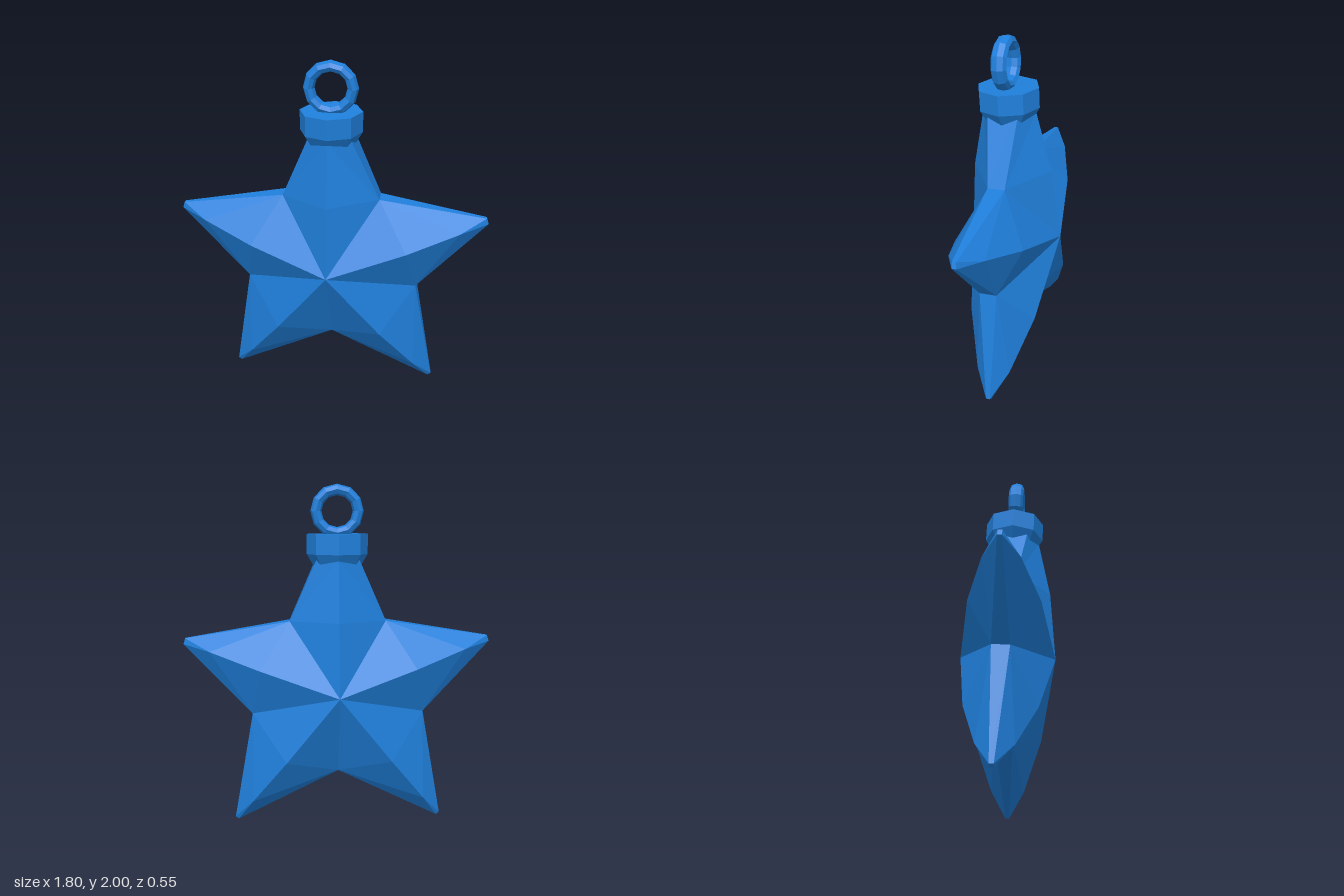
import * as THREE from 'three';

const material = new THREE.MeshStandardMaterial({ color: 0x1f7fdb, flatShading: true });

// Arms and valleys run counter-clockwise; x, y are relative to the star centre.
// ridge: [share of arm length, half thickness]
const sideRidge = [[0.5, 0.2], [0.83, 0.1]];
const topRidge = [[0.47, 0.235], [0.86, 0.155]];
const arms = [
  { tip: [0.895, 0.3], blunt: 0.018, depth: 0.012, ridge: sideRidge },
  { tip: [0, 0.9], blunt: 0.065, depth: 0.1, ridge: topRidge },
  { tip: [-0.895, 0.3], blunt: 0.018, depth: 0.012, ridge: sideRidge },
  { tip: [-0.615, -0.793], blunt: 0.012, depth: 0.012, ridge: sideRidge },
  { tip: [0.615, -0.793], blunt: 0.012, depth: 0.012, ridge: sideRidge },
];
// valley i comes just before arm i
const valleys = [[0.505, -0.13], [0.28, 0.415], [-0.28, 0.415], [-0.505, -0.13], [0, -0.49]];

function starGeometry() {
  const pos = [];
  const tri = (a, b, c) => pos.push(...a, ...b, ...c);
  const valleyDepth = 0.05;

  arms.forEach((arm, i) => {
    const [tx, ty] = arm.tip;
    const len = Math.hypot(tx, ty);
    const px = (-ty / len) * arm.blunt, py = (tx / len) * arm.blunt;
    const before = valleys[i], after = valleys[(i + 1) % 5];

    // front and back facets
    for (const s of [1, -1]) {
      const face = (a, b, c) => (s > 0 ? tri(a, b, c) : tri(a, c, b));
      const centre = [0, 0, 0.277 * s];
      const [r1, r2] = arm.ridge.map(([k, z]) => [tx * k, ty * k, z * s]);
      const v0 = [...before, valleyDepth * s], v1 = [...after, valleyDepth * s];
      const t0 = [tx - px, ty - py, arm.depth * s], t1 = [tx + px, ty + py, arm.depth * s];
      face(centre, v0, r1);
      face(r1, v0, r2);
      face(r2, v0, t0);
      face(r2, t0, t1);
      face(r2, t1, v1);
      face(r1, r2, v1);
      face(centre, r1, v1);
    }

    // narrow rim joining front and back
    const rim = [before, [tx - px, ty - py], [tx + px, ty + py], after];
    const depths = [valleyDepth, arm.depth, arm.depth, valleyDepth];
    for (let k = 0; k < 3; k++) {
      const a = [...rim[k], depths[k]], b = [...rim[k + 1], depths[k + 1]];
      const a2 = [...rim[k], -depths[k]], b2 = [...rim[k + 1], -depths[k + 1]];
      tri(a, a2, b2);
      tri(a, b2, b);
    }
  });

  const g = new THREE.BufferGeometry();
  g.setAttribute('position', new THREE.Float32BufferAttribute(pos, 3));
  g.computeVertexNormals();
  return g;
}

export function createModel() {
  const group = new THREE.Group();
  group.name = 'starOrnament';

  // the whole ornament leans slightly forward about the star centre
  const body = new THREE.Group();
  body.name = 'ornamentBody';
  body.position.y = 0.805;
  body.rotation.x = 0.05;
  group.add(body);

  const add = (name, geometry, y, z = 0) => {
    const mesh = new THREE.Mesh(geometry, material);
    mesh.name = name;
    mesh.position.set(0, y, z);
    body.add(mesh);
    return mesh;
  };

  add('star', starGeometry(), 0);

  // octagonal cap with a tapered underside
  const capProfile = [[0, 0.72], [0.13, 0.72], [0.177, 0.8], [0.177, 0.915], [0, 0.915]]
    .map(([x, y]) => new THREE.Vector2(x, y));
  add('cap', new THREE.LatheGeometry(capProfile, 8), 0);

  // hanging ring, thicker front to back
  const ring = add('hangingRing', new THREE.TorusGeometry(0.122, 0.032, 8, 12), 1.043, 0.006);
  ring.scale.z = 1.4;

  return group;
}
